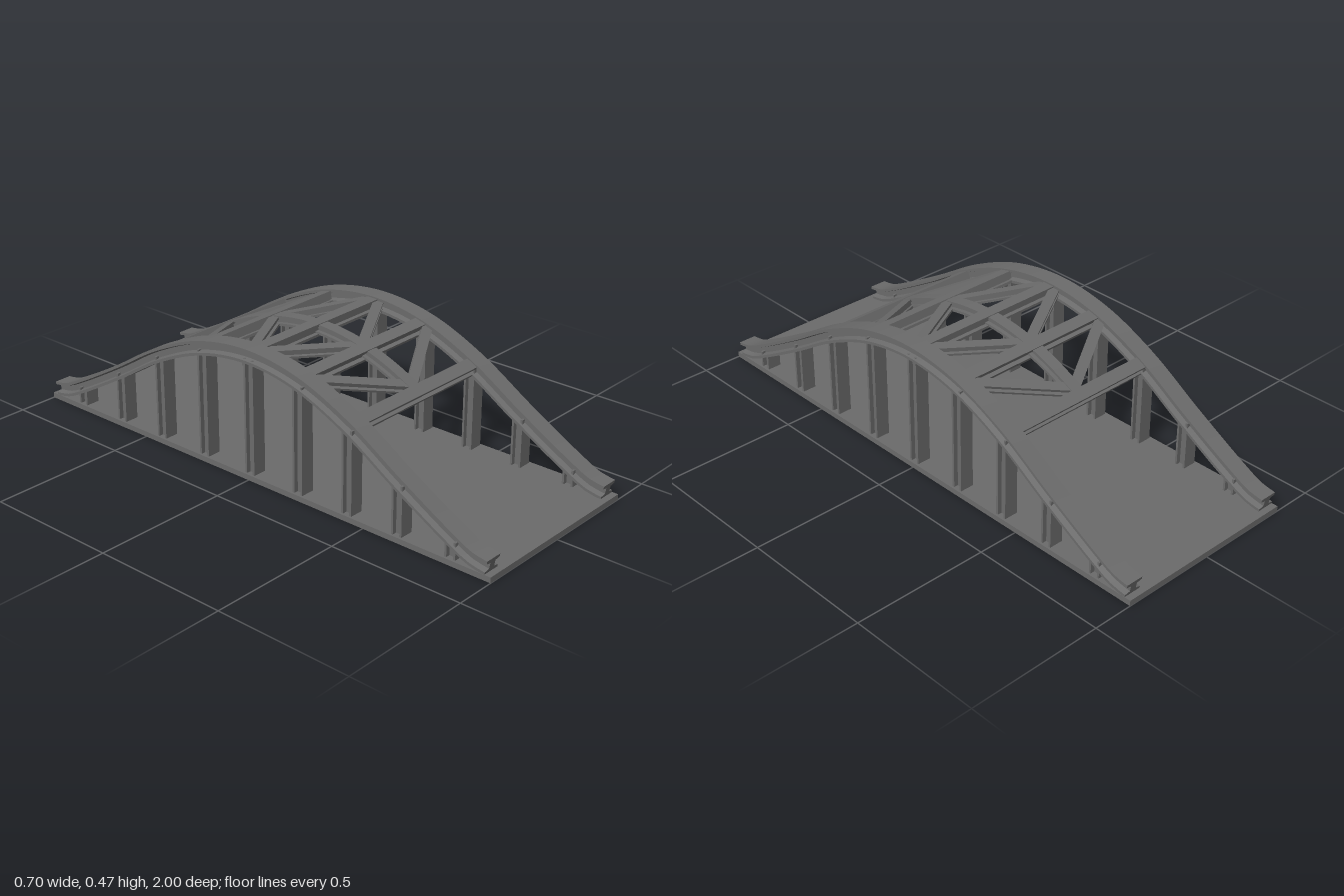
import * as THREE from 'three';
import { toCreasedNormals } from 'three/addons/utils/BufferGeometryUtils.js';

const V = (x, y, z) => new THREE.Vector3(x, y, z);
const steel = new THREE.MeshStandardMaterial({ color: 0x6b6b6b });

// Arch centre line: half the profile as [z, y], mirrored about the crown
const half = [[0.98, 0.043], [0.92, 0.054], [0.84, 0.092], [0.63, 0.21], [0.425, 0.333], [0.215, 0.419]];
const profile = [...half, [0, 0.449], ...half.slice().reverse().map(([z, y]) => [-z, y])];
const archCurve = new THREE.CatmullRomCurve3(profile.map(([z, y]) => V(0, y, z)), false, 'centripetal');
const samples = archCurve.getPoints(300);

// Height and upward normal of the arch at a given z
function archY(z) {
  for (let i = 1; i < samples.length; i++) {
    const a = samples[i - 1], b = samples[i];
    if (b.z <= z) return a.y + (b.y - a.y) * (a.z - z) / (a.z - b.z);
  }
  return samples[samples.length - 1].y;
}
const archUp = z => V(0, 1, -(archY(z + 0.02) - archY(z - 0.02)) / 0.04).normalize();

// I section: w across the flanges, h overall, t flange tip, k web, r flange root
function iShape(w, h, t, k, r = t) {
  const x = w / 2, y = h / 2, s = k / 2;
  return new THREE.Shape([[-x, -y], [x, -y], [x, t - y], [s, r - y], [s, y - r], [x, y - t],
    [x, y], [-x, y], [-x, y - t], [-s, y - r], [-s, r - y], [-x, t - y]]
    .map(p => new THREE.Vector2(...p)));
}

function add(group, name, geometry) {
  const mesh = new THREE.Mesh(geometry, steel);
  mesh.name = name;
  group.add(mesh);
  return mesh;
}

// Straight I beam from a to b, with its web standing along up
function addBeam(group, name, a, b, up, w, h, t = 0.009, k = 0.014) {
  const dir = b.clone().sub(a);
  const geo = new THREE.ExtrudeGeometry(iShape(w, h, t, k), { depth: dir.length(), bevelEnabled: false });
  dir.normalize();
  const side = up.clone().cross(dir).normalize();
  const top = dir.clone().cross(side);
  geo.applyMatrix4(new THREE.Matrix4().makeBasis(side, top, dir).setPosition(a));
  add(group, name, geo);
}

// I beam swept along a curve in the yz plane
function sweep(curve, steps, shape) {
  const geo = new THREE.ExtrudeGeometry(shape, { steps, extrudePath: curve, bevelEnabled: false });
  return toCreasedNormals(geo, 0.5);
}

export function createModel() {
  const bridge = new THREE.Group();
  bridge.name = 'archBridge';

  // Deck
  add(bridge, 'deck', new THREE.BoxGeometry(0.704, 0.02, 2)).position.y = 0.01;

  // Arches and their posts
  const archGeo = sweep(archCurve, 72, iShape(0.066, 0.051, 0.01, 0.026, 0.015));
  for (const s of [1, -1]) {
    const side = new THREE.Group();
    side.name = s > 0 ? 'leftSide' : 'rightSide';
    side.position.x = s * 0.318;
    add(side, 'arch', archGeo);
    for (const z of [-0.84, -0.63, -0.425, -0.215, 0, 0.215, 0.425, 0.63, 0.84]) {
      addBeam(side, 'post', V(0, 0.018, z), V(0, archY(z) - 0.012, z), V(0, 0, 1), 0.052, 0.042, 0.008, 0.02);
    }
    bridge.add(side);
  }

  // Overhead bracing: cross beams, central spine and diagonals
  const bracing = new THREE.Group();
  bracing.name = 'overheadBracing';
  for (const z of [-0.43, -0.21, 0, 0.21, 0.43]) {
    const y = archY(z) - 0.002;
    addBeam(bracing, 'crossBeam', V(-0.3, y, z), V(0.3, y, z), archUp(z), 0.046, 0.044);
  }
  const spinePath = new THREE.CatmullRomCurve3(
    Array.from({ length: 9 }, (_, i) => 0.42 - i * 0.105).map(z => V(0, archY(z), z)));
  add(bracing, 'spine', sweep(spinePath, 32, iShape(0.044, 0.036, 0.009, 0.014)));
  for (const s of [1, -1]) {
    for (const e of [1, -1]) {
      for (const [inner, outer] of [[0.185, 0.02], [0.395, 0.235]]) {
        const z0 = e * inner, z1 = e * outer;
        addBeam(bracing, 'diagonal', V(s * 0.015, archY(z0), z0), V(s * 0.295, archY(z1), z1),
          archUp((z0 + z1) / 2), 0.036, 0.032, 0.008, 0.012);
      }
    }
  }
  bridge.add(bracing);
  return bridge;
}
